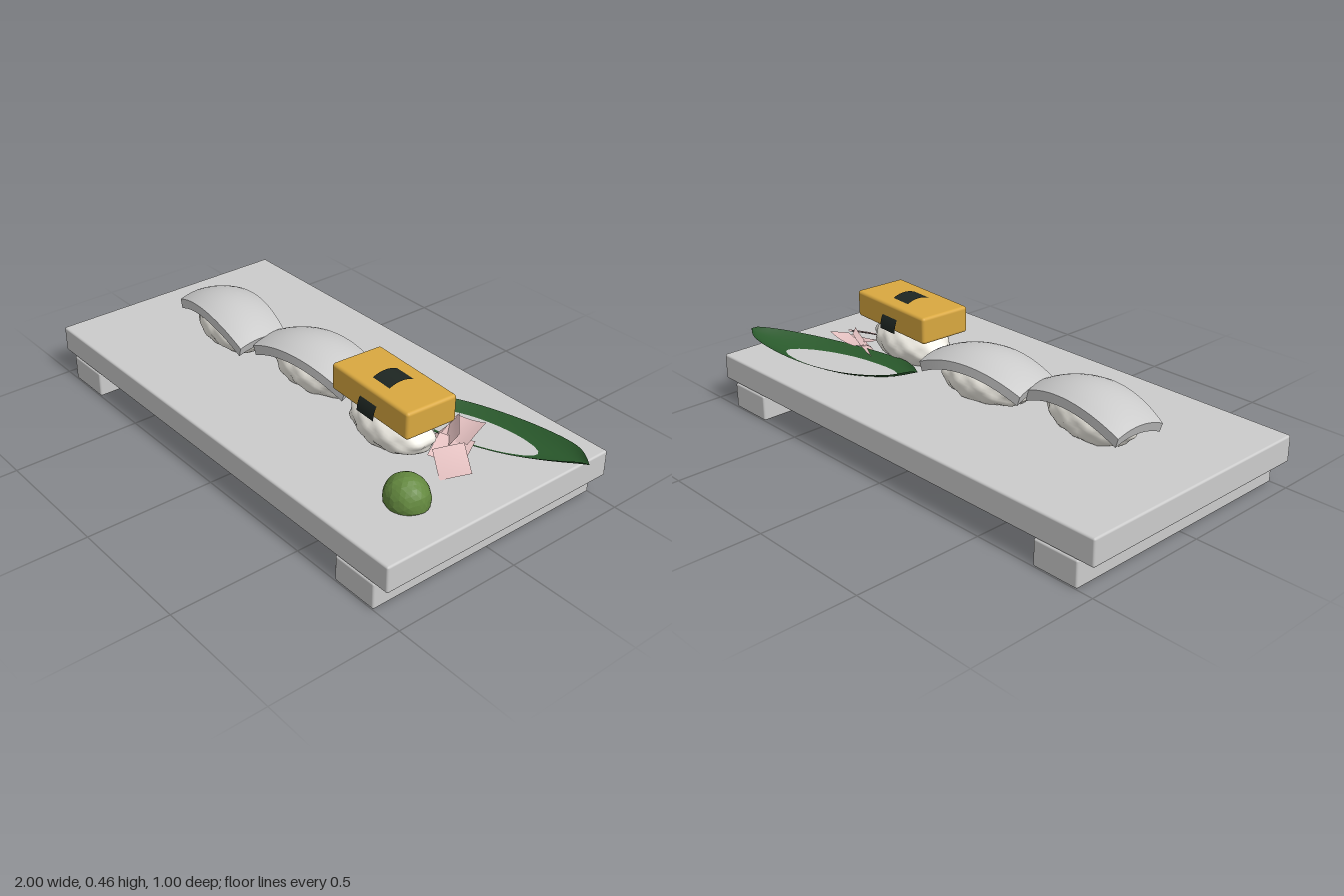
import * as THREE from 'three';
import { mergeVertices, toCreasedNormals } from 'three/addons/utils/BufferGeometryUtils.js';
import { RoundedBoxGeometry } from 'three/addons/geometries/RoundedBoxGeometry.js';

const TOP = 0.205; // height of the serving surface
const mat = (color, extra = {}) => new THREE.MeshStandardMaterial({ color, ...extra });
const grey = mat(0xcccccc);
const riceMat = mat(0xf4f1e8);
const eggMat = mat(0xd9a840);
const noriMat = mat(0x1e2622, { side: THREE.DoubleSide });
const leafMat = mat(0x2a5a2c, { side: THREE.DoubleSide });
const gingerMat = mat(0xe8c4c4, { side: THREE.DoubleSide });
const wasabiMat = mat(0x64893f, { flatShading: true });

function add(parent, name, geometry, material, x = 0, y = 0, z = 0, ry = 0) {
  const mesh = new THREE.Mesh(geometry, material);
  mesh.name = name;
  mesh.position.set(x, y, z);
  mesh.rotation.y = ry;
  parent.add(mesh);
  return mesh;
}

// Move every vertex by a rule
function deform(geometry, rule) {
  const p = geometry.attributes.position;
  const v = new THREE.Vector3();
  for (let i = 0; i < p.count; i++) {
    rule(v.fromBufferAttribute(p, i));
    p.setXYZ(i, v.x, v.y, v.z);
  }
  geometry.computeVertexNormals();
  return geometry;
}

// Lumpy ellipsoid with a flat base at y = 0
function lump(rx, ry, rz, centerY, detail, bump, seed) {
  let geo = new THREE.IcosahedronGeometry(1, detail);
  geo.deleteAttribute('uv');
  geo.deleteAttribute('normal');
  geo = mergeVertices(geo, 1e-4);
  return deform(geo, (v) => {
    const n = Math.sin(v.x * 13 + seed) * Math.sin(v.y * 9 + seed * 2) + Math.sin(v.z * 8 + v.x * 9 + seed * 3) * 0.7;
    const k = 1 + bump * n;
    v.set(v.x * rx * k, Math.max(0, centerY + v.y * ry * k), v.z * rz * k);
  });
}

// Fish slice: slab arched along and across, a little wider in the middle
function sliceGeometry() {
  const half = 0.235;
  const geo = deform(new THREE.BoxGeometry(half * 2, 0.036, 0.2, 20, 1, 10), (v) => {
    const slope = 2.4 * v.x;
    v.z *= 1 + 0.17 * (1 - (v.x / half) ** 2);
    const t = v.y;
    v.y += -1.2 * v.x * v.x - 2.2 * v.z * v.z;
    v.x += t * slope * 0.6;
  });
  return toCreasedNormals(geo, 0.7);
}

// Leaf: trough between two rim curves, its middle sunk into the board
function leafGeometry() {
  const curve = (pts) => new THREE.CatmullRomCurve3(pts.map(([x, z]) => new THREE.Vector3(x, 0, z)));
  const back = curve([[0.25, -0.1], [0.29, -0.21], [0.4, -0.3], [0.56, -0.36], [0.75, -0.39], [0.91, -0.38], [1, -0.33]]);
  const front = curve([[0.25, -0.1], [0.35, -0.075], [0.47, -0.085], [0.61, -0.115], [0.76, -0.17], [0.9, -0.25], [1, -0.33]]);
  const nu = 32, nv = 12;
  const geo = new THREE.PlaneGeometry(1, 1, nu, nv);
  return deform(geo, (p) => {
    const u = p.x + 0.5, v = p.y * 2;
    const a = back.getPointAt(u), b = front.getPointAt(u);
    const mid = TOP + 0.2 * (u - 0.13) * (u - 0.74);
    const rise = 0.046 * Math.sqrt(Math.max(0, Math.sin(Math.PI * u)));
    p.lerpVectors(b, a, (v + 1) / 2);
    p.y = mid + rise * v * v;
  });
}

export function createModel() {
  const model = new THREE.Group();
  model.name = 'sushiBoard';

  // Serving board on two feet
  add(model, 'board', new RoundedBoxGeometry(1.94, 0.102, 1, 2, 0.008), grey, -0.03, 0.154, 0);
  for (const x of [-0.842, 0.785]) {
    add(model, 'foot', new RoundedBoxGeometry(0.187, 0.102, 1, 2, 0.008), grey, x, 0.051, 0);
  }

  // Two pieces with draped fish
  const slice = sliceGeometry();
  [[-0.507, 0.028, -0.11], [-0.04, -0.02, 0.085]].forEach(([x, z, turn], i) => {
    const piece = new THREE.Group();
    piece.name = 'fishPiece';
    piece.position.set(x, TOP, z);
    piece.rotation.y = turn;
    add(piece, 'rice', lump(0.198, 0.088, 0.105, 0.063, 9, 0.035, i + 1), riceMat);
    add(piece, 'fishSlice', slice, grey, 0, 0.163, 0);
    model.add(piece);
  });

  // Egg piece with a seaweed band
  const egg = new THREE.Group();
  egg.name = 'eggPiece';
  egg.position.set(0.418, TOP, 0.021);
  egg.rotation.y = -0.055;
  add(egg, 'rice', lump(0.187, 0.088, 0.11, 0.068, 9, 0.035, 5), riceMat);
  add(egg, 'eggBlock', new RoundedBoxGeometry(0.412, 0.104, 0.212, 3, 0.012), eggMat, 0, 0.188, 0);
  const band = new THREE.CylinderGeometry(1, 1, 0.09, 32, 1, true, 0, Math.PI);
  band.rotateZ(Math.PI / 2);
  band.scale(1, 0.117, 0.119);
  add(egg, 'seaweedBand', band, noriMat, 0, 0.135, 0);
  model.add(egg);

  // Wasabi mound
  add(model, 'wasabi', lump(0.083, 0.083, 0.076, 0.022, 4, 0.015, 2), wasabiMat, 0.728, TOP, 0.232);

  // Leaf garnish
  add(model, 'leaf', leafGeometry(), leafMat);

  // Pickled ginger: loose curled sheets [x, y, z, tilt x, turn y, tilt z]
  const sheet = deform(new THREE.PlaneGeometry(0.13, 0.11, 6, 4).rotateX(-Math.PI / 2), (v) => {
    v.y += 1.5 * v.x * v.x - 0.5 * v.z * v.z;
  });
  [
    [0.6, 0.262, -0.14, 0.35, 0.15, 0.15],
    [0.685, 0.232, -0.01, 0.25, -0.6, -0.2],
    [0.57, 0.245, -0.1, 0.2, 0.8, 0.75],
    [0.63, 0.235, -0.06, 0.3, 0.4, -0.1],
  ].forEach(([x, y, z, rx, ry, rz]) => {
    const ginger = add(model, 'gingerSheet', sheet, gingerMat, x, y, z);
    ginger.rotation.set(rx, ry, rz, 'XYZ');
  });

  return model;
}
